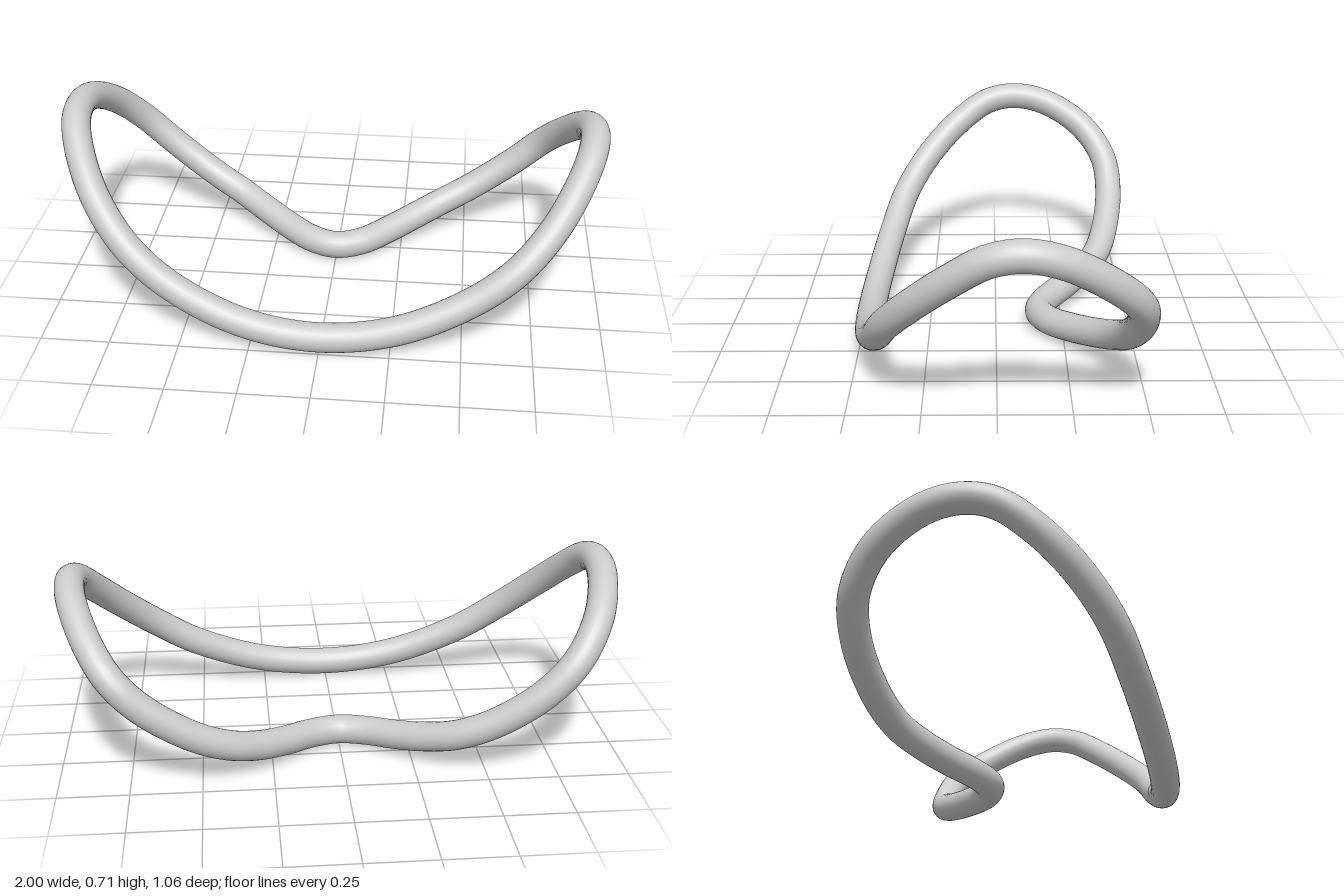
import * as THREE from 'three';

// Outline of the ring in plan, as [x, z]; its height follows a circular arc across x.
const OUTLINE = [
  [0, 0.472], [0.27, 0.455], [0.52, 0.41], [0.68, 0.363], [0.8, 0.27], [0.885, 0.15],
  [0.935, 0.03], [0.947, -0.08], [0.93, -0.21], [0.865, -0.37], [0.79, -0.455],
  [0.69, -0.472], [0.52, -0.45], [0.4, -0.41], [0.3, -0.35], [0.2, -0.272], [0.1, -0.195],
  [0, -0.163],
  [-0.1, -0.195], [-0.2, -0.267], [-0.3, -0.342], [-0.4, -0.407], [-0.53, -0.452],
  [-0.69, -0.478], [-0.8, -0.46], [-0.885, -0.37], [-0.935, -0.22], [-0.948, -0.09],
  [-0.938, 0.03], [-0.895, 0.15], [-0.815, 0.27], [-0.69, 0.367], [-0.525, 0.42], [-0.27, 0.46],
];
const TUBE_RADIUS = 0.053;
const ARC_RADIUS = 1.055;
const ARC_X = 0.006;

// Height of the tube's centre line, resting on the ground at the middle
const heightAt = (x) => TUBE_RADIUS + ARC_RADIUS - Math.sqrt(ARC_RADIUS ** 2 - (x - ARC_X) ** 2);

export function createModel() {
  const group = new THREE.Group();
  group.name = 'bentRing';

  // Closed saddle-shaped ring with a notch at the back
  const points = OUTLINE.map(([x, z]) => new THREE.Vector3(x, heightAt(x), z));
  const path = new THREE.CatmullRomCurve3(points, true, 'centripetal');
  const ring = new THREE.Mesh(
    new THREE.TubeGeometry(path, 240, TUBE_RADIUS, 24, true),
    new THREE.MeshStandardMaterial({ color: 0xcccccc })
  );
  ring.name = 'ringTube';
  group.add(ring);
  return group;
}
